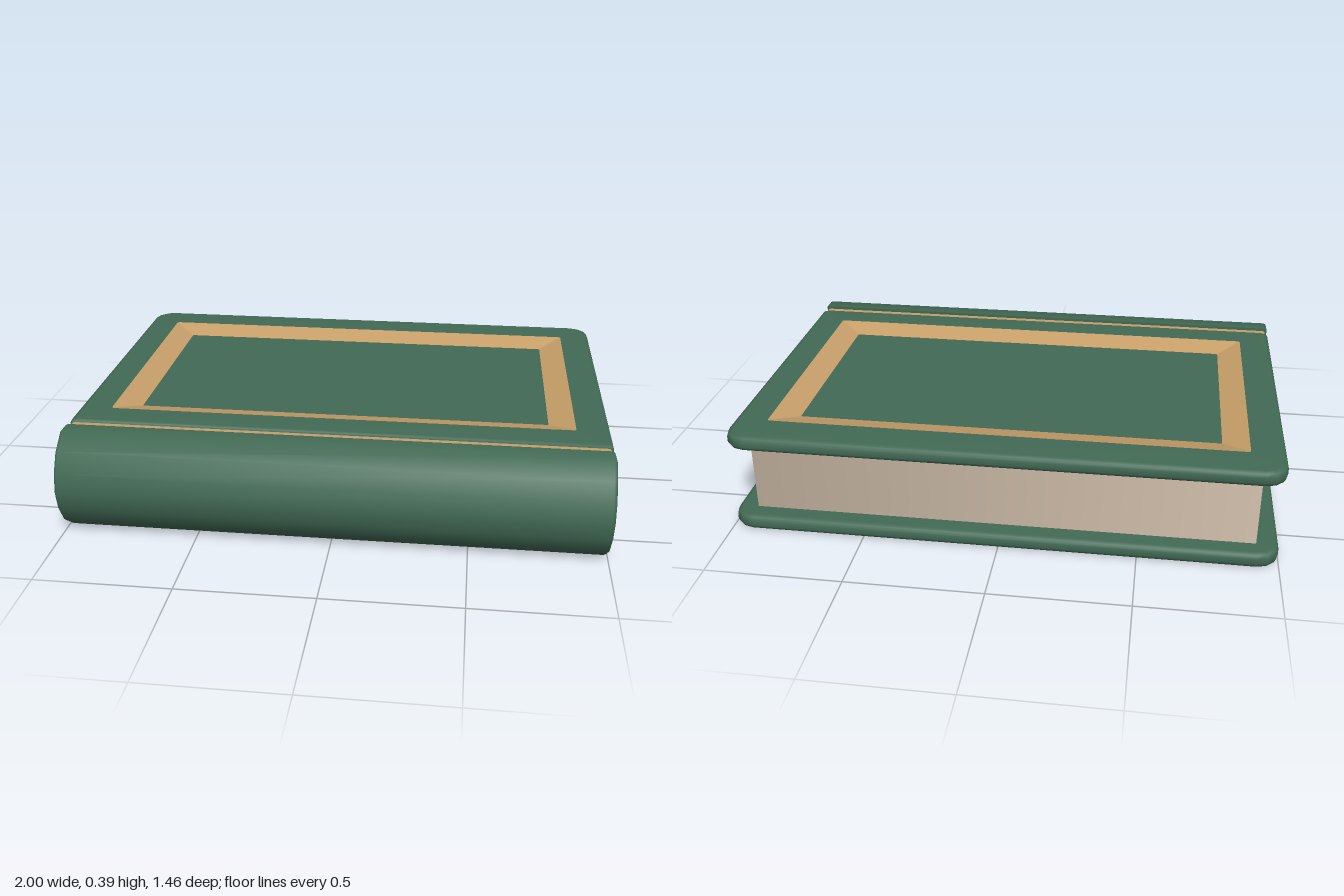
import * as THREE from 'three';
import { toCreasedNormals } from 'three/addons/utils/BufferGeometryUtils.js';
import { RoundedBoxGeometry } from 'three/addons/geometries/RoundedBoxGeometry.js';

const green = new THREE.MeshStandardMaterial({ name: 'green leather', color: 0x426a55 });
const gold = new THREE.MeshStandardMaterial({ name: 'gold trim', color: 0xc8a06a });
const cream = new THREE.MeshStandardMaterial({ name: 'cream paper', color: 0xdcc9b4 });

const HEIGHT = 0.387, BOARD = 0.33, RECESS = 0.362;

function mesh(name, geometry, material) {
  const m = new THREE.Mesh(geometry, material);
  m.name = name;
  return m;
}

// Rounded rectangle loop in the xz plane; rb and rf are the back and front corner radii
function loop({ x, z0, z1, rb, rf, y }) {
  const pts = [], seg = 3;
  [[1, 1], [-1, 1], [-1, -1], [1, -1]].forEach(([sx, sz], c) => {
    const r = sz > 0 ? rf : rb;
    for (let i = 0; i <= seg; i++) {
      const a = (c + i / seg) * Math.PI / 2;
      pts.push([sx * (x - r) + r * Math.cos(a), y, (sz > 0 ? z1 - r : z0 + r) + r * Math.sin(a)]);
    }
  });
  return pts;
}

// Skin joining successive loops
function loft(rings) {
  const loops = rings.map(loop), n = loops[0].length, index = [];
  for (let i = 0; i < loops.length - 1; i++) {
    for (let j = 0; j < n; j++) {
      const a = i * n + j, b = i * n + (j + 1) % n;
      index.push(a, a + n, b, b, a + n, b + n);
    }
  }
  const g = new THREE.BufferGeometry();
  g.setAttribute('position', new THREE.Float32BufferAttribute(loops.flat(2), 3));
  g.setIndex(index);
  g.computeVertexNormals();
  return g;
}

// Extrude a [z, y] profile along x, centred
function extrudeX(profile, width, bevel) {
  const shape = new THREE.Shape(profile.map(([z, y]) => new THREE.Vector2(-z, y)));
  const depth = width - 2 * bevel;
  const g = new THREE.ExtrudeGeometry(shape, {
    depth, bevelEnabled: bevel > 0, bevelThickness: bevel, bevelSize: bevel,
    bevelOffset: -bevel, bevelSegments: 2,
  });
  return g.translate(0, 0, -depth / 2).rotateY(Math.PI / 2);
}

// One cover: padded board, sunken panel with sloping gilt border, and hinge band
function cover(name) {
  const group = new THREE.Group();
  group.name = name;
  const outer = { x: 0.875, z0: -0.585, z1: 0.39, rb: 0.01, rf: 0.01, y: HEIGHT };
  const inner = { x: 0.78, z0: -0.49, z1: 0.3, rb: 0.006, rf: 0.006, y: RECESS };
  const edge = [[0.3, 0], [0.022, 0], [0.006, 0.006], [0, 0.018],
    [0, 0.039], [0.006, 0.051], [0.022, 0.057]];
  const rings = edge.map(([inset, dy]) => ({
    x: 1 - inset, z0: -0.73 + inset, z1: 0.505 - inset * 0.4,
    rb: Math.max(0.08 - inset, 0.02), rf: 0.01, y: BOARD + dy,
  }));
  group.add(mesh('board', loft([...rings, outer]), green));
  group.add(mesh('giltBorder', loft([outer, inner]), gold));

  const panel = mesh('sunkenPanel', new THREE.PlaneGeometry(1.56, 0.79).rotateX(-Math.PI / 2), green);
  panel.position.set(0, RECESS, -0.095);
  group.add(panel);

  const band = mesh('hingeBand', new RoundedBoxGeometry(1.985, 0.059, 0.064, 2, 0.012), gold);
  band.position.set(0, 0.346, 0.527);
  group.add(band);
  return group;
}

// Paper block with shading softened round the two back corners
function pageBlock() {
  const g = extrudeX([[-0.655, 0.05], [0.1, 0.05], [0.61, 0.05], [0.65, 0.125], [0.672, 0.1935],
    [0.65, 0.262], [0.61, 0.337], [0.1, 0.337], [-0.655, 0.337]], 1.84, 0);
  const p = g.attributes.position, nrm = g.attributes.normal;
  for (let i = 0; i < p.count; i++) {
    if (p.getZ(i) < -0.6 && Math.abs(nrm.getY(i)) < 0.5) {
      nrm.setXYZ(i, Math.sign(p.getX(i)) * Math.SQRT1_2, 0, -Math.SQRT1_2);
    }
  }
  return mesh('pages', g, cream);
}

export function createModel() {
  const book = new THREE.Group();
  book.name = 'book';

  // Covers: the lower one is the upper one turned over
  const lower = cover('lowerCover');
  lower.rotation.z = Math.PI;
  lower.position.y = HEIGHT;
  book.add(cover('upperCover'), lower);

  // Curved spine, profile mirrored about mid height
  const mirror = (half) => [...half, ...half.slice(0, -1).reverse().map(([z, y]) => [z, HEIGHT - y])];
  const outside = mirror([[0.548, HEIGHT], [0.61, HEIGHT], [0.676, 0.335], [0.716, 0.265], [0.73, 0.1935]]);
  const inside = mirror([[0.548, BOARD], [0.61, BOARD], [0.65, 0.262], [0.67, 0.1935]]).reverse();
  book.add(mesh('spine', toCreasedNormals(extrudeX([...outside, ...inside], 2, 0.012), 0.9), green));

  book.add(pageBlock());
  return book;
}
